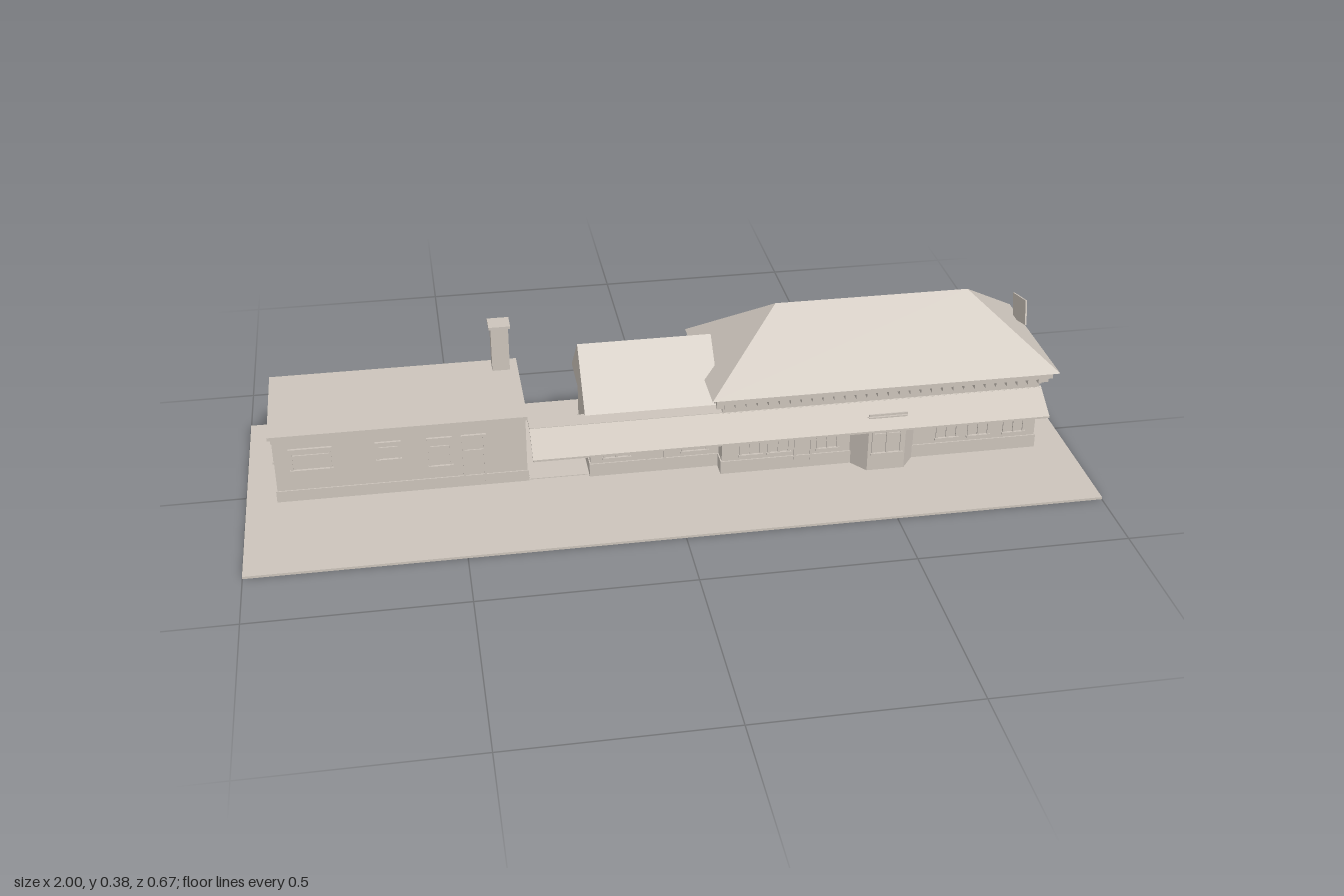
import * as THREE from 'three';

const stone = new THREE.MeshStandardMaterial({ color: 0xccc4bb });
stone.name = 'warm stone';
stone.flatShading = true;
stone.side = THREE.DoubleSide;

export function createModel() {
  const model = new THREE.Group();
  model.name = 'railwayStation';

  const add = (name, geo, parent = model) => {
    const m = new THREE.Mesh(geo, stone);
    m.name = name;
    parent.add(m);
    return m;
  };
  // Box given by its limits on each axis
  const box = (name, x0, x1, y0, y1, z0, z1, parent = model) => {
    const m = add(name, new THREE.BoxGeometry(x1 - x0, y1 - y0, z1 - z0), parent);
    m.position.set((x0 + x1) / 2, (y0 + y1) / 2, (z0 + z1) / 2);
    return m;
  };
  // Roof over a rectangle, with the ridge running along x
  const ridgeRoof = (name, x0, x1, z0, z1, y0, rx0, rx1, rz, ry) => {
    const g = new THREE.BufferGeometry();
    g.setAttribute('position', new THREE.Float32BufferAttribute([
      x0, y0, z1, x1, y0, z1, x1, y0, z0, x0, y0, z0, rx0, ry, rz, rx1, ry, rz], 3));
    g.setIndex([0, 1, 5, 0, 5, 4, 2, 3, 4, 2, 4, 5, 1, 2, 5, 3, 0, 4, 0, 3, 2, 0, 2, 1]);
    const flat = g.toNonIndexed();
    flat.computeVertexNormals();
    return add(name, flat);
  };
  // Sheet or solid with a cross-section in (z, y), swept along x
  const sweepX = (name, pts, x0, x1) => {
    const s = new THREE.Shape(pts.map(([z, y]) => new THREE.Vector2(-z, y)));
    const m = add(name, new THREE.ExtrudeGeometry(s, { depth: x1 - x0, bevelEnabled: false }));
    m.rotation.y = Math.PI / 2;
    m.position.x = x0;
    return m;
  };
  // Local frame on a wall: local x runs along it, local z points outwards
  const wallFrame = (name, x, z, turn) => {
    const g = new THREE.Group();
    g.name = name;
    g.position.set(x, 0, z);
    g.rotation.y = turn;
    model.add(g);
    return g;
  };
  // Framed opening with a number of panes and a sill
  const opening = (wall, name, u, y0, w, h, panes = 1, sill = true) => {
    const f = 0.005, d = 0.004;
    for (let i = 0; i <= panes; i++) {
      const c = u - w / 2 + (w * i) / panes;
      box(name + 'Post', c - f / 2, c + f / 2, y0, y0 + h, 0, d, wall);
    }
    box(name + 'Head', u - w / 2 - f, u + w / 2 + f, y0 + h, y0 + h + 0.007, 0, d + 0.002, wall);
    if (sill) box(name + 'Sill', u - w / 2 - f, u + w / 2 + f, y0 - 0.006, y0, 0, d + 0.002, wall);
    box(name + 'Rail', u - w / 2, u + w / 2, y0 + h * 0.7, y0 + h * 0.7 + 0.004, 0, d - 0.001, wall);
  };

  // Ground slab
  box('ground', -1, 1, 0, 0.006, -0.333, 0.333);
  box('yardPaving', -0.33, -0.19, 0.006, 0.008, -0.245, 0.035);

  // Main hall with plinth, belt course, fascia and hipped roof
  box('mainWalls', 0.13, 0.915, 0.006, 0.21, -0.232, 0.082);
  box('mainPlinth', 0.127, 0.918, 0.006, 0.04, -0.235, 0.085);
  box('beltCourse', 0.128, 0.917, 0.171, 0.174, -0.234, 0.084);
  box('fascia', 0.112, 0.938, 0.208, 0.224, -0.254, 0.105);
  ridgeRoof('mainRoof', 0.1, 0.953, -0.263, 0.112, 0.224, 0.287, 0.767, -0.076, 0.375);

  // Brackets under the eaves on all four sides
  const bracket = (x, z, dx, dz) => box('eaveBracket', x - dx, x + dx, 0.193, 0.21, z - dz, z + dz);
  for (let i = 0; i < 30; i++) {
    const x = 0.135 + i * 0.0267;
    bracket(x, 0.09, 0.004, 0.009);
    bracket(x, -0.24, 0.004, 0.009);
  }
  for (let i = 0; i < 13; i++) {
    const z = -0.24 + i * 0.0275;
    bracket(0.923, z, 0.009, 0.004);
    bracket(0.122, z, 0.009, 0.004);
  }

  // End wall: pilasters, lunette and lintel
  const end = wallFrame('endWall', 0.915, 0, Math.PI / 2);
  for (const c of [-0.026, 0.179]) {
    box('pilaster', c - 0.016, c + 0.016, 0.05, 0.15, 0, 0.005, end);
    box('pilasterCap', c - 0.023, c + 0.023, 0.15, 0.157, 0, 0.008, end);
    box('pilasterBase', c - 0.023, c + 0.023, 0.046, 0.051, 0, 0.008, end);
  }
  box('lintel', 0.023, 0.128, 0.143, 0.159, 0, 0.005, end);
  const arch = new THREE.Shape();
  arch.moveTo(0.07, 0);
  arch.absarc(0, 0.012, 0.07, 0, Math.PI, false);
  arch.lineTo(-0.07, 0);
  const hole = new THREE.Path();
  hole.absarc(0, 0.012, 0.054, 0, Math.PI, false);
  hole.closePath();
  arch.holes.push(hole);
  add('archFrame', new THREE.ExtrudeGeometry(arch, { depth: 0.005, bevelEnabled: false, curveSegments: 16 }), end)
    .position.set(0.075, 0.07, 0);

  // Tilted board above the end eave
  const board = new THREE.Shape([[0.09, 0.323], [0.178, 0.302], [0.163, 0.246], [0.135, 0.246], [0.075, 0.262]]
    .map(([u, y]) => new THREE.Vector2(u, y)));
  add('tiltedBoard', new THREE.ExtrudeGeometry(board, { depth: 0.004, bevelEnabled: false }), end).position.z = 0.01;

  // Middle wing with gabled roof
  box('middleWalls', -0.183, 0.13, 0.006, 0.18, -0.2, 0.042);
  box('middlePlinth', -0.186, 0.13, 0.006, 0.04, -0.203, 0.045);
  ridgeRoof('middleRoof', -0.195, 0.13, -0.21, 0.05, 0.18, -0.195, 0.13, -0.08, 0.303);

  // Platform canopy: flat strip by the wing, then a slope along the whole front
  box('canopyFlat', -0.33, 0.13, 0.171, 0.176, 0.035, 0.082);
  sweepX('canopySlope', [[0.08, 0.176], [0.155, 0.133], [0.155, 0.128], [0.08, 0.17]], -0.33, 0.92);
  for (let x = -0.32; x < 0.93; x += 0.205) {
    sweepX('canopyBrace', [[0.08, 0.171], [0.125, 0.146], [0.082, 0.14]], x, x + 0.006);
  }
  box('canopySign', 0.48, 0.575, 0.151, 0.158, 0.118, 0.121);

  // Bay with splayed sides
  const bay = new THREE.Shape([[0.445, 0.08], [0.48, 0.126], [0.572, 0.126], [0.607, 0.08]]
    .map(([x, z]) => new THREE.Vector2(x, -z)));
  const bayMesh = add('bay', new THREE.ExtrudeGeometry(bay, { depth: 0.147, bevelEnabled: false }));
  bayMesh.rotation.x = -Math.PI / 2;
  bayMesh.position.y = 0.006;

  // Annex with flat roof and chimney
  box('annexWalls', -0.925, -0.335, 0.006, 0.178, -0.245, 0.036);
  box('annexPlinth', -0.928, -0.332, 0.006, 0.035, -0.248, 0.039);
  box('annexRoof', -0.935, -0.33, 0.176, 0.185, -0.252, 0.042);
  box('chimney', -0.393, -0.35, 0.18, 0.3, -0.236, -0.195);
  box('chimneyCap', -0.398, -0.345, 0.3, 0.307, -0.241, -0.19);

  // Openings on the platform side
  const front = wallFrame('mainFront', 0, 0.082, 0);
  for (const u of [0.2, 0.27, 0.39, 0.69, 0.77, 0.86]) opening(front, 'window', u, 0.055, 0.05, 0.075, 2);
  opening(front, 'door', 0.33, 0.01, 0.04, 0.12, 1, false);
  const bayFront = wallFrame('bayFront', 0, 0.126, 0);
  opening(bayFront, 'bayWindow', 0.526, 0.055, 0.07, 0.07, 2);
  const middleFront = wallFrame('middleFront', 0, 0.042, 0);
  for (const u of [-0.12, 0.07]) opening(middleFront, 'window', u, 0.055, 0.06, 0.08, 2);
  opening(middleFront, 'door', -0.025, 0.01, 0.045, 0.13, 1, false);
  const annexFront = wallFrame('annexFront', 0, 0.036, 0);
  opening(annexFront, 'wideWindow', -0.84, 0.09, 0.09, 0.05, 1);
  opening(annexFront, 'window', -0.66, 0.1, 0.05, 0.04, 1);
  opening(annexFront, 'window', -0.54, 0.07, 0.05, 0.07, 1);
  opening(annexFront, 'door', -0.46, 0.01, 0.05, 0.13, 1, false);

  // Openings on the street side (local x is mirrored)
  const back = wallFrame('mainBack', 0, -0.232, Math.PI);
  for (const u of [0.84, 0.7, 0.45, 0.21]) opening(back, 'tallWindow', -u, 0.05, 0.05, 0.105, 2);
  for (const u of [0.59, 0.53]) opening(back, 'smallWindow', -u, 0.09, 0.03, 0.065);
  opening(back, 'door', -0.35, 0.01, 0.055, 0.145, 2, false);
  const middleBack = wallFrame('middleBack', 0, -0.2, Math.PI);
  opening(middleBack, 'window', -0.04, 0.05, 0.055, 0.1, 2);
  opening(middleBack, 'door', 0.09, 0.01, 0.05, 0.14, 1, false);
  const annexBack = wallFrame('annexBack', 0, -0.245, Math.PI);
  for (const u of [0.51, 0.81]) opening(annexBack, 'window', u, 0.1, 0.05, 0.045, 2);
  for (const u of [0.41, 0.7]) opening(annexBack, 'door', u, 0.01, 0.05, 0.125, 1, false);

  // Openings on the annex end
  const annexEnd = wallFrame('annexEnd', -0.925, 0, -Math.PI / 2);
  for (const u of [-0.18, -0.105, -0.03]) opening(annexEnd, 'window', u, 0.095, 0.055, 0.05, 2);

  return model;
}
